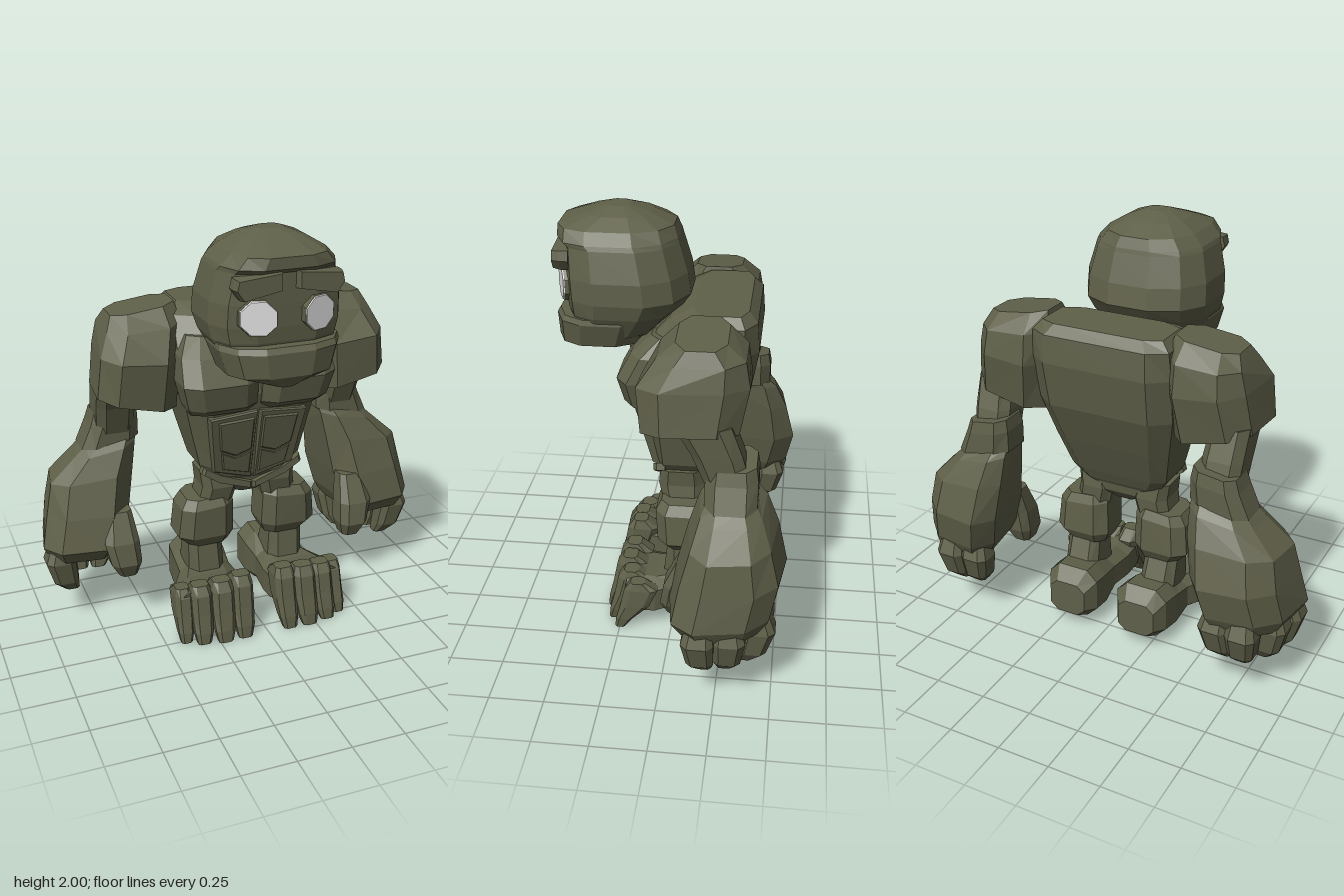
import * as THREE from 'three';

const stone = new THREE.MeshStandardMaterial({ color: 0x5f6049 });
stone.name = 'mossy stone';
const pale = new THREE.MeshStandardMaterial({ color: 0xe0e0e0 });
pale.name = 'pale eye';

// Faceted closed solid skinned over rings of points; side -1 mirrors it in x
function solid(name, rings, side = 1, material = stone) {
  const pts = rings.map(r => r.map(p => new THREE.Vector3(p.x * side, p.y, p.z)));
  const n = pts[0].length, tris = [];
  for (let i = 0; i + 1 < pts.length; i++) {
    for (let j = 0; j < n; j++) {
      const k = (j + 1) % n;
      const a = pts[i][j], b = pts[i][k], c = pts[i + 1][k], d = pts[i + 1][j];
      tris.push([a, b, c], [a, c, d]);
    }
  }
  const last = pts[pts.length - 1];
  for (let j = 1; j + 1 < n; j++) {
    tris.push([pts[0][0], pts[0][j + 1], pts[0][j]], [last[0], last[j], last[j + 1]]);
  }
  // Turn the faces outward whatever the ring direction
  const volume = tris.reduce((v, [a, b, c]) => v + a.dot(b.clone().cross(c)), 0);
  const flat = tris.flatMap(t => (volume < 0 ? [t[0], t[2], t[1]] : t));
  const geo = new THREE.BufferGeometry().setFromPoints(flat);
  geo.computeVertexNormals();
  const mesh = new THREE.Mesh(geo, material);
  mesh.name = name;
  return mesh;
}

// Unit outline of a blocky cross-section; the lower the power, the squarer
function outline(n, power, backPower = power) {
  return Array.from({ length: n }, (_, i) => {
    const t = ((i + 0.5) / n) * Math.PI * 2;
    const p = Math.sin(t) < 0 ? backPower : power;
    const f = v => Math.sign(v) * (Math.abs(v) / Math.cos(Math.PI / n)) ** p;
    return [f(Math.cos(t)), f(Math.sin(t))];
  });
}

// Level sections: [y, centre x, half width, back z, front z, rise per x, outward taper, shear of x]
const upright = (sections, shape = outline(8, 0.6)) =>
  sections.map(([y, cx, hx, z0, z1, rise = 0, taper = 0, shear = 0]) =>
    shape.map(([a, b]) => new THREE.Vector3(
      cx + a * hx + b * shear, y + rise * a * hx, (z0 + z1) / 2 + b * (1 - taper * a) * (z1 - z0) / 2)));

// Sections running front to back: [z, centre x, half width, low y, high y]
const lengthwise = sections => sections.map(([z, cx, hx, y0, y1]) =>
  outline(8, 0.6).map(([a, b]) => new THREE.Vector3(cx + a * hx, (y0 + y1) / 2 + b * (y1 - y0) / 2, z)));

// Plate from a front outline; z follows depth(y), with a smaller raised face
function plate(points, depth, thick, inset = 0.9) {
  const cx = points.reduce((s, p) => s + p[0], 0) / points.length;
  const cy = points.reduce((s, p) => s + p[1], 0) / points.length;
  const ring = (k, dz) => points.map(([x, y]) => {
    const py = cy + (y - cy) * k;
    return new THREE.Vector3(cx + (x - cx) * k, py, depth(py) + dz);
  });
  return [ring(1, -0.04), ring(1, 0), ring(inset, thick)];
}

// Eye outline, turned a little outward
const eyeRing = (radius, z) => outline(8, 1).map(([a, b]) =>
  new THREE.Vector3(0.14 + a * radius, 1.67 + b * radius, z - a * radius * 0.35));

export function createModel() {
  const model = new THREE.Group();
  const add = (name, rings, side, material) => model.add(solid(name, rings, side, material));

  // Head and jaw
  add('head', upright([
    [1.37, 0, 0.14, 0.23, 0.44],
    [1.45, 0, 0.24, 0.09, 0.46],
    [1.55, 0, 0.29, -0.01, 0.49],
    [1.62, 0, 0.307, -0.06, 0.5],
    [1.72, 0, 0.303, -0.045, 0.505],
    [1.855, 0, 0.27, -0.005, 0.51],
    [1.875, 0, 0.262, 0, 0.535],
    [1.925, 0, 0.215, 0.02, 0.535],
    [1.97, 0, 0.14, 0.12, 0.41],
    [2.0, 0, 0.06, 0.22, 0.32],
  ], outline(12, 0.6, 0.85)));
  add('jaw', upright([
    [1.35, 0, 0.06, 0.25, 0.51],
    [1.405, 0, 0.245, 0.15, 0.545],
    [1.515, 0, 0.28, 0.1, 0.55],
    [1.54, 0, 0.275, 0.1, 0.535],
  ], outline(12, 0.7)));
  add('neck', upright([[1.3, 0, 0.2, -0.2, 0.16], [1.55, 0, 0.17, -0.1, 0.22]]));

  // Trunk
  add('torso', upright([
    [0.69, 0, 0.1, -0.1, 0.05],
    [0.76, 0, 0.21, -0.15, 0.09],
    [0.82, 0, 0.252, -0.18, 0.1],
    [1.0, 0, 0.295, -0.26, 0.13],
    [1.2, 0, 0.34, -0.34, 0.18],
    [1.42, 0, 0.35, -0.38, 0.14],
    [1.55, 0, 0.34, -0.37, 0.02],
    [1.595, 0, 0.3, -0.33, -0.08],
  ], outline(8, 0.45, 0.35)));
  add('pelvis', upright([
    [0.645, 0, 0.06, -0.08, 0.03],
    [0.7, 0, 0.17, -0.13, 0.07],
    [0.76, 0, 0.21, -0.14, 0.08],
  ]));

  const bellyZ = y => 0.095 + (y - 0.78) * 0.25;
  for (const side of [1, -1]) {
    const tag = side > 0 ? 'left' : 'right';
    const part = (name, rings, material) => add(tag + name, rings, side, material);

    // Face
    part('Brow', plate([[0.03, 1.785], [0.215, 1.75], [0.25, 1.8], [0.24, 1.845], [0.03, 1.865]], () => 0.505, 0.035));
    part('EyeSocket', [eyeRing(0.08, 0.44), eyeRing(0.076, 0.516)]);
    part('Eye', [eyeRing(0.075, 0.516), eyeRing(0.072, 0.522)], pale);

    // Chest and belly armour
    part('Pectoral', upright([
      [1.12, 0.165, 0.155, 0, 0.17],
      [1.16, 0.175, 0.165, 0, 0.225],
      [1.28, 0.19, 0.18, 0, 0.255],
      [1.4, 0.185, 0.175, -0.05, 0.19],
      [1.48, 0.18, 0.13, -0.1, 0.1],
    ]));
    part('BellyFrame', plate([[0.008, 0.74], [0.2, 0.8], [0.24, 1.1], [0.008, 1.12]], bellyZ, 0.008, 0.96));
    part('UpperBelly', plate([[0.02, 0.91], [0.1, 0.88], [0.18, 0.92], [0.2, 1.08], [0.02, 1.09]], y => bellyZ(y) + 0.006, 0.01));
    part('LowerBelly', plate([[0.02, 0.77], [0.16, 0.81], [0.175, 0.91], [0.1, 0.87], [0.02, 0.9]], y => bellyZ(y) + 0.006, 0.01));
    part('Belt', plate([[0, 0.68], [0.17, 0.735], [0.255, 0.79], [0.245, 0.825], [0.16, 0.775], [0, 0.715]], () => 0.085, 0.015));

    // Arm
    part('Shoulder', upright([
      [1.585, 0.47, 0.15, -0.26, -0.04, -0.13],
      [1.51, 0.475, 0.175, -0.34, 0.04, -0.05],
      [1.38, 0.5, 0.185, -0.36, 0.12, 0.1, 0, 0.02],
      [1.165, 0.525, 0.185, -0.32, 0.1, 0.23, 0, 0.015],
      [1.15, 0.525, 0.12, -0.28, 0.05, 0.23],
    ], outline(8, 0.65)));
    part('UpperArm', upright([
      [1.24, 0.605, 0.09, -0.29, -0.04],
      [1.1, 0.595, 0.095, -0.34, -0.12],
      [0.95, 0.59, 0.09, -0.38, -0.18],
    ]));
    part('Cuff', upright([
      [1.06, 0.585, 0.1, -0.4, -0.19, -0.15],
      [1.0, 0.59, 0.115, -0.41, -0.18, -0.15],
      [0.89, 0.615, 0.14, -0.41, -0.18, -0.15],
    ]));
    part('Forearm', upright([
      [0.91, 0.61, 0.125, -0.4, -0.19, -0.2],
      [0.86, 0.64, 0.15, -0.44, -0.16, -0.2, 0.1, 0.01],
      [0.74, 0.705, 0.2, -0.49, -0.12, -0.1, 0.12, 0.025],
      [0.57, 0.735, 0.2, -0.53, -0.075, 0, 0.12, 0.03],
      [0.41, 0.77, 0.195, -0.495, -0.045, 0, 0.12, 0.035],
      [0.34, 0.77, 0.16, -0.46, -0.09, 0, 0.1, 0.03],
    ], outline(8, 0.65)));
    part('Thumb', upright([
      [0.58, 0.62, 0.06, -0.18, -0.07],
      [0.44, 0.625, 0.085, -0.16, 0.0],
      [0.33, 0.61, 0.075, -0.15, 0.02],
      [0.26, 0.6, 0.045, -0.12, -0.01],
    ]));
    [[0.9, -0.18], [0.875, -0.31], [0.78, -0.43], [0.65, -0.42]].forEach(([x, z], i) => {
      const section = (y, k, r) => {
        const cx = x + (0.74 - x) * k, cz = z + (-0.25 - z) * k;
        return [y, cx, r, cz - r, cz + r];
      };
      part('Finger' + (i + 1), upright([
        section(0.42, 0.05, 0.055), section(0.33, -0.05, 0.072),
        section(0.21, 0.1, 0.06), section(0.155, 0.3, 0.035),
      ]));
    });

    // Leg
    part('Thigh', upright([
      [0.78, 0.16, 0.085, -0.13, 0.07],
      [0.7, 0.145, 0.09, -0.14, 0.08],
      [0.58, 0.17, 0.085, -0.13, 0.05],
    ]));
    part('Knee', upright([
      [0.645, 0.205, 0.105, -0.14, 0.06, -0.08],
      [0.6, 0.21, 0.13, -0.16, 0.085, -0.08],
      [0.44, 0.215, 0.14, -0.17, 0.075],
      [0.385, 0.2, 0.1, -0.14, 0.04],
    ]));
    part('Shin', upright([[0.42, 0.215, 0.085, -0.13, 0.03], [0.24, 0.21, 0.09, -0.2, 0.05]]));
    part('Foot', lengthwise([
      [-0.335, 0.19, 0.095, 0.07, 0.24],
      [-0.27, 0.19, 0.132, 0.04, 0.3],
      [-0.17, 0.195, 0.135, 0.025, 0.29],
      [-0.05, 0.205, 0.13, 0.065, 0.25],
      [0.08, 0.235, 0.17, 0.055, 0.245],
      [0.17, 0.24, 0.175, 0.06, 0.26],
      [0.22, 0.235, 0.165, 0.09, 0.26],
    ]));
    // Toes: [x, half width, forward shift, height]
    [[0.11, 0.052, 0, 0.3], [0.213, 0.055, 0.005, 0.29], [0.315, 0.051, -0.015, 0.275], [0.393, 0.041, -0.055, 0.255]]
      .forEach(([x, w, dz, h], i) => part('Toe' + (i + 1), upright([
        [h, x, w * 0.8, 0.18 + dz, 0.25 + dz],
        [h * 0.85, x, w, 0.12 + dz, 0.28 + dz],
        [h * 0.5, x + 0.002, w, 0.16 + dz, 0.3 + dz],
        [h * 0.2, x + 0.005, w * 0.9, 0.24 + dz, 0.322 + dz],
        [0, x + 0.008, w * 0.65, 0.28 + dz, 0.328 + dz],
      ])));
  }
  return model;
}
